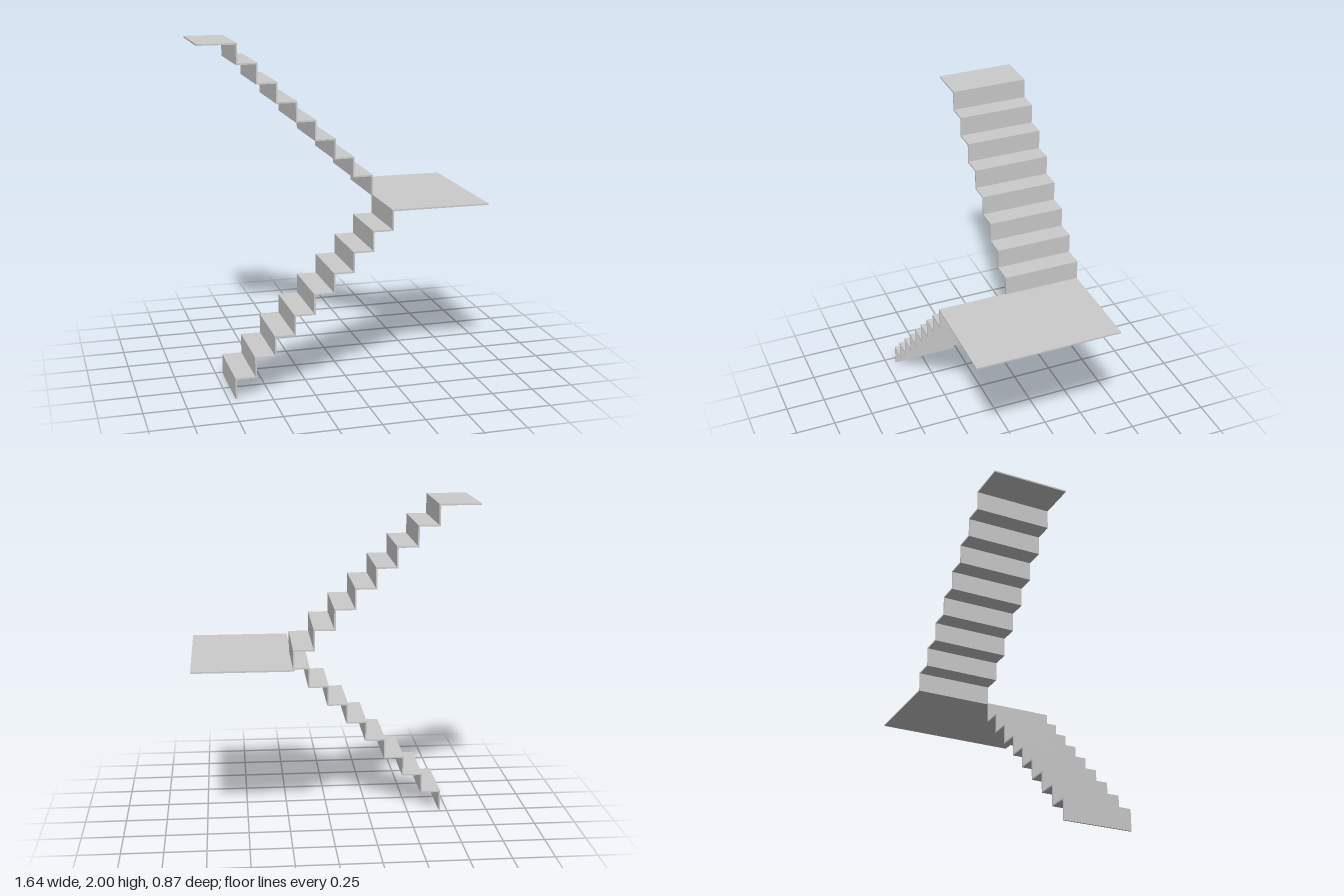
import * as THREE from 'three';

const RISE = 0.1171;          // step height and depth
const T = 0.0093;             // sheet thickness
const HALF_DEPTH = 0.437;
const SPLIT = 0.023;          // z where the two flights meet
const LANDING_Y = 9 * RISE;   // underside of the middle landing
const LANDING_X = 0.228;
const END_X = 0.82;

const material = new THREE.MeshStandardMaterial({ color: 0xcccccc, flatShading: true });

// Folded-sheet flight: climbs along dir (+1 / -1) from (x0, y0);
// an optional endX stretches the last tread into a platform.
function flight(name, x0, y0, dir, risers, z0, z1, endX) {
  const upper = [[x0, y0]];
  const lower = [[x0 + dir * T, y0]];
  for (let i = 0; i < risers; i++) {
    const x = x0 + dir * RISE * i;
    const y = y0 + RISE * (i + 1);
    const last = i === risers - 1;
    if (last && endX === undefined) {
      // final riser stops under the landing
      upper.push([x, y]);
      lower.push([x + dir * T, y]);
    } else {
      const next = last ? endX : x + dir * RISE;
      upper.push([x, y + T], [next, y + T]);
      lower.push([x + dir * T, y], [last ? next : next + dir * T, y]);
    }
  }
  const outline = [...upper, ...lower.reverse()].map(([x, y]) => new THREE.Vector2(x, y));
  const geometry = new THREE.ExtrudeGeometry(new THREE.Shape(outline), {
    depth: z1 - z0, bevelEnabled: false,
  });
  geometry.translate(0, 0, z0);
  const mesh = new THREE.Mesh(geometry, material);
  mesh.name = name;
  return mesh;
}

export function createModel() {
  const group = new THREE.Group();
  group.name = 'staircase';

  // Lower flight rises toward +x in the front half
  group.add(flight('lowerFlight', LANDING_X - 8 * RISE, 0, 1, 9, SPLIT, HALF_DEPTH));

  // Middle landing spans both flights
  const width = END_X - LANDING_X;
  const landing = new THREE.Mesh(new THREE.BoxGeometry(width, T, 2 * HALF_DEPTH), material);
  landing.name = 'middleLanding';
  landing.position.set(LANDING_X + width / 2, LANDING_Y + T / 2, 0);
  group.add(landing);

  // Upper flight returns toward -x in the back half and ends in the top platform
  group.add(flight('upperFlight', LANDING_X + T, LANDING_Y, -1, 8, -HALF_DEPTH, SPLIT, -END_X));

  return group;
}
